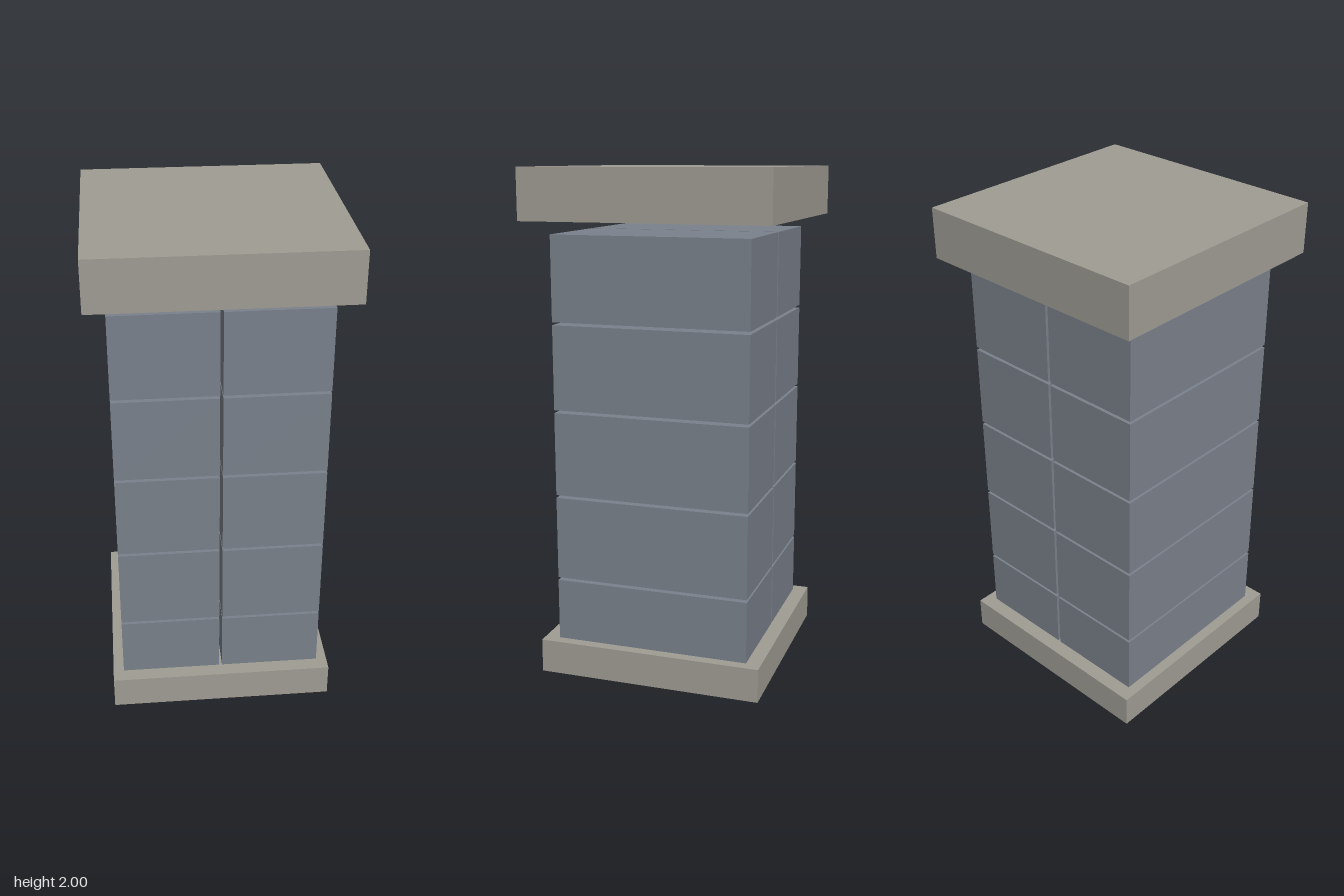
import * as THREE from 'three';

export function createModel() {
  const group = new THREE.Group();
  const slabStone = new THREE.MeshStandardMaterial({ color: 0x9f9c93 });
  slabStone.name = 'warm grey stone';
  const blockStone = new THREE.MeshStandardMaterial({ color: 0x7a818b });
  blockStone.name = 'blue grey stone';

  const addBox = (name, w, h, d, x, bottom, material) => {
    const mesh = new THREE.Mesh(new THREE.BoxGeometry(w, h, d), material);
    mesh.name = name;
    mesh.position.set(x, bottom + h / 2, 0);
    group.add(mesh);
  };

  // Base slab and the wider cap floating just above the blocks
  addBox('base', 0.898, 0.135, 0.898, 0, 0, slabStone);
  addBox('cap', 0.968, 0.197, 0.968, 0, 1.803, slabStone);

  // Five courses of paired blocks with open joints; the lowest sits into the base
  const blockHeight = 0.331, pitch = 0.3425;
  for (let row = 0; row < 5; row++) {
    for (const side of [-1, 1]) {
      const name = `${side > 0 ? 'left' : 'right'}Block${row + 1}`;
      addBox(name, 0.4, blockHeight, 0.78, side * 0.206, 0.051 + row * pitch, blockStone);
    }
  }
  return group;
}
